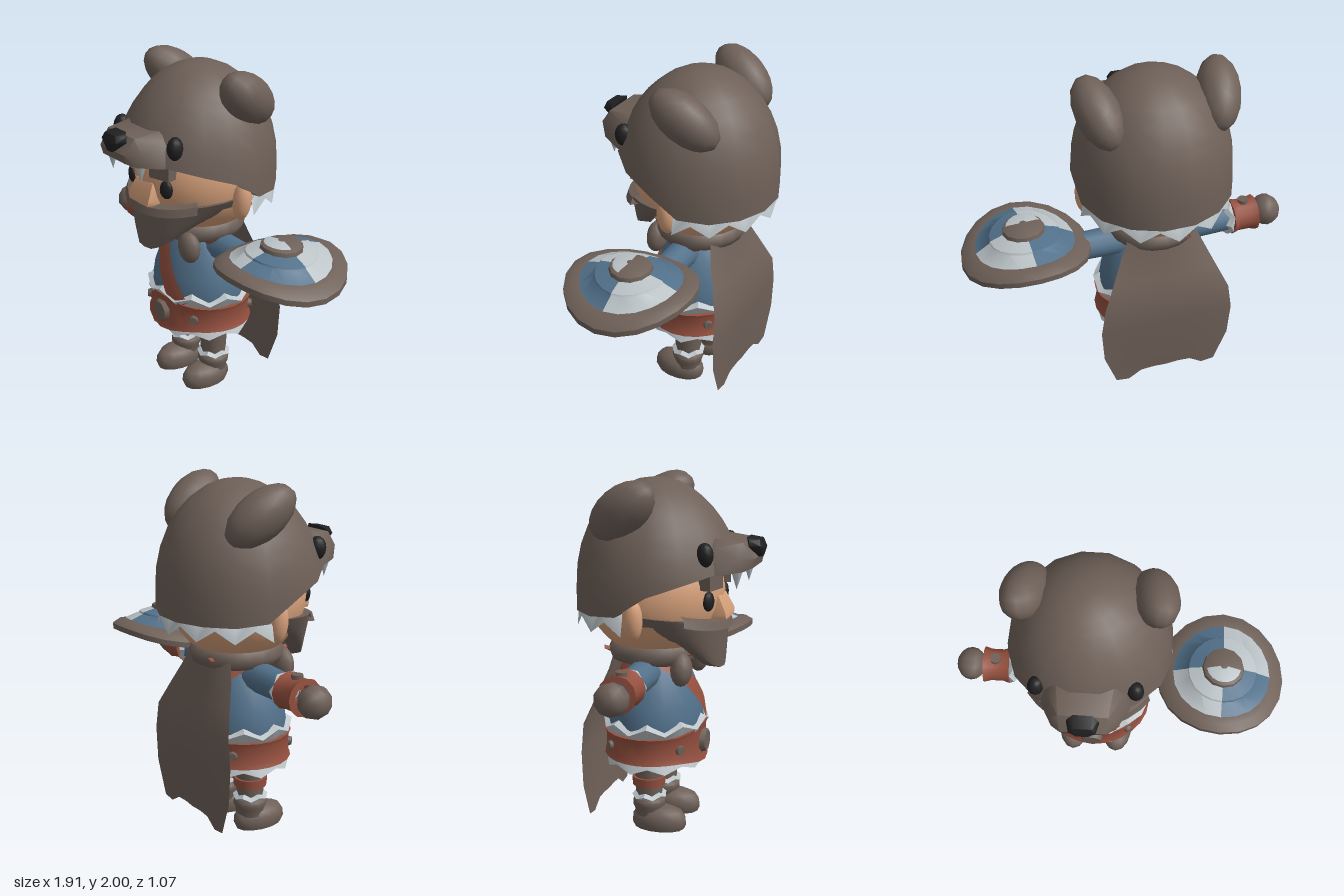
import * as THREE from 'three';
import { toCreasedNormals } from 'three/addons/utils/BufferGeometryUtils.js';
import { ParametricGeometry } from 'three/addons/geometries/ParametricGeometry.js';
import { ConvexGeometry } from 'three/addons/geometries/ConvexGeometry.js';

const PI = Math.PI, { lerp, smoothstep } = THREE.MathUtils;
const mat = (name, color) => Object.assign(new THREE.MeshStandardMaterial({ color, side: THREE.DoubleSide }), { name });

export function createModel() {
  const brown = mat('brown hide', 0x6e6058), red = mat('red leather', 0x95503f), blue = mat('blue cloth', 0x52718b);
  const grey = mat('pale fur', 0xbcc4c8), skin = mat('skin', 0xd8a27c), black = mat('black', 0x202022);

  const root = new THREE.Group();
  root.name = 'warrior';
  const group = (name, parent = root) => {
    const g = new THREE.Group();
    g.name = name;
    parent.add(g);
    return g;
  };
  const add = (name, geo, material, pos = [0, 0, 0], rot = [0, 0, 0], parent = body) => {
    const m = new THREE.Mesh(geo, material);
    m.name = name;
    m.position.set(...pos);
    m.rotation.set(...rot);
    parent.add(m);
    return m;
  };
  const ball = (x, y, z, w = 16, h = 12) => new THREE.SphereGeometry(1, w, h).scale(x, y, z);
  const surface = (fn, nu, nv, crease = 0.75) => toCreasedNormals(new ParametricGeometry(fn, nu, nv), crease);
  // Convex block from half of its corners, mirrored in x
  const hull = (half, crease) => toCreasedNormals(new ConvexGeometry(
    half.flatMap(([x, y, z]) => [new THREE.Vector3(x, y, z), new THREE.Vector3(-x, y, z)])), crease);

  // Rings of [radius, height] swept around y; warp may move each point.
  const loft = (rows, n, warp = () => {}, a0 = -PI, a1 = PI) => surface((u, v, p) => {
    const k = Math.round(v * (rows.length - 1)), a = lerp(a0, a1, u), [r, y] = rows[k];
    p.set(r * Math.sin(a), y, r * Math.cos(a));
    warp(p, a, k, Math.round(u * n));
  }, n, rows.length - 1);
  // Jagged fur: the outer rows of the ring alternate up and down.
  const fur = (rows, n, amp, a0, a1) => loft(rows, n, (p, a, k, i) => {
    if (k > 0) p.y += i % 2 ? amp : -amp;
  }, a0, a1);

  // All body parts share one centre line.
  const body = group('body');
  body.position.set(-0.155, 0, -0.09);

  // Torso, belt and fur trims, a little flattened front to back
  const trunk = group('trunk', body);
  trunk.scale.z = 0.86;
  const torso = [[0.3, 0.5], [0.315, 0.62], [0.295, 0.74], [0.25, 0.86], [0.19, 0.96], [0.12, 1.03]];
  const torsoRadius = y => {
    const i = Math.min(4, Math.max(0, torso.findIndex(q => q[1] >= y) - 1));
    const [[r0, y0], [r1, y1]] = [torso[i], torso[i + 1]];
    return lerp(r0, r1, Math.min(1, (y - y0) / (y1 - y0)));
  };
  add('tunic', loft(torso, 24), blue, undefined, undefined, trunk);
  add('pelvis', ball(0.28, 0.13, 0.28), brown, [0, 0.45, 0], undefined, trunk);
  add('upperFur', fur([[0.3, 0.55], [0.346, 0.622], [0.3, 0.645]], 18, 0.022), grey, undefined, undefined, trunk);
  add('lowerFur', fur([[0.26, 0.42], [0.328, 0.388], [0.295, 0.46]], 18, 0.018), grey, undefined, undefined, trunk);
  add('belt', loft([[0.29, 0.43], [0.34, 0.43], [0.328, 0.46], [0.328, 0.55], [0.34, 0.58], [0.29, 0.58]], 24, (p, a, k) => {
    p.y += (k < 3 ? -1 : 1) * 0.04 * Math.max(0, Math.cos(a)) ** 8;
  }), red, undefined, undefined, trunk);
  add('buckle', new THREE.CylinderGeometry(0.062, 0.076, 0.04, 8), brown, [0, 0.505, 0.285], [PI / 2, PI / 8, 0]);
  for (const a of [-0.74, 0.74, -2.3, 2.3])
    add('beltStud', new THREE.CylinderGeometry(0.024, 0.032, 0.03, 8).rotateX(PI / 2), brown,
      [0.33 * Math.sin(a), 0.505, 0.285 * Math.cos(a)], [0, a, 0]);

  // Diagonal strap, front and back
  for (const s of [1, -1])
    add('strap', surface((u, v, p) => {
      const w = (u - 0.5) * 0.11, y0 = lerp(1.02, 0.58, v);
      const y = y0 + w * 0.58, x = (0.788 - y0) / 1.4 + w * 0.81, r = torsoRadius(y) + 0.018;
      p.set(x, y, s * 0.86 * Math.sqrt(Math.max(0.002, r * r - x * x)));
    }, 4, 12), red);
  add('shoulderPad', ball(0.055, 0.06, 0.12, 10, 8), red, [0.195, 0.995, 0], [0, 0, -0.4]);

  // Collar with its two hanging ends
  add('collar', new THREE.TorusGeometry(0.205, 0.065, 8, 20).rotateX(PI / 2), brown, [0, 1.03, 0]);
  for (const s of [-1, 1])
    add('collarEnd', ball(0.076, 0.095, 0.06, 10, 8), brown, [s * 0.167, 0.955, 0.2], [0, 0, s * 0.2]);

  // Cape: [height, half width, depth] rows with a ragged hem
  const capeRows = [[1.04, 0.2, -0.17], [0.93, 0.25, -0.2], [0.8, 0.31, -0.25], [0.66, 0.375, -0.3],
    [0.5, 0.4, -0.305], [0.3, 0.385, -0.305], [0.1, 0.31, -0.3]];
  const hem = [0, -0.01, 0.04, 0.045, 0.04, 0.045, 0.04, -0.01, 0];
  add('cape', surface((u, v, p) => {
    const k = Math.round(v * 6), s = u * 2 - 1, [y, w, z] = capeRows[k];
    p.set(s * w, y + (k === 6 ? hem[Math.round(u * 8)] : 0), z - 0.05 * (1 - s * s) * (1 - v));
  }, 8, 6, 1), brown);

  // Arms, built along their own y axis and turned sideways
  for (const s of [-1, 1]) {
    const arm = group(s < 0 ? 'rightArm' : 'leftArm', body);
    arm.position.y = 0.925;
    arm.rotation.z = -s * PI / 2;
    add('sleeve', new THREE.CylinderGeometry(0.08, 0.09, 0.4, 12), blue, [0, 0.28, 0], undefined, arm);
    add('sleeveFur', fur([[0.08, 0.5], [0.102, 0.475], [0.08, 0.45]], 12, 0.014), grey, undefined, undefined, arm);
    add('cuff', loft([[0.08, 0.49], [0.106, 0.492], [0.094, 0.53], [0.094, 0.6], [0.106, 0.642], [0.07, 0.645]], 12),
      red, undefined, undefined, arm);
    add('cuffStud', new THREE.CylinderGeometry(0.032, 0.032, 0.03, 8), brown, [-s * 0.095, 0.57, 0], [0, 0, PI / 2], arm);
    add('hand', ball(0.092, 0.085, 0.097, 10, 8), brown, [0, 0.72, 0], undefined, arm);
  }
  add('grip', ball(0.07, 0.05, 0.07, 10, 8), brown, [0.82, 0.96, 0]);

  // Legs and boots
  for (const s of [-1, 1]) {
    const leg = group(s < 0 ? 'rightLeg' : 'leftLeg', body);
    leg.position.x = s * 0.14;
    add('shin', new THREE.CylinderGeometry(0.09, 0.075, 0.25, 12), brown, [0, 0.3, 0], undefined, leg);
    if (s < 0) add('legBand', new THREE.CylinderGeometry(0.098, 0.094, 0.052, 12), red, [0, 0.285, 0], undefined, leg);
    add('bootFur', fur([[0.07, 0.175], [0.1, 0.195], [0.075, 0.215]], 12, 0.009), grey, undefined, undefined, leg);
    add('bootShaft', loft([[0.08, 0.08], [0.084, 0.12], [0.094, 0.14], [0.094, 0.165], [0.08, 0.185], [0, 0.185]], 12),
      brown, undefined, undefined, leg);
    add('foot', loft([[0, 0], [0.088, 0], [0.097, 0.03], [0.095, 0.07], [0.08, 0.105], [0.045, 0.128], [0, 0.135]], 14), brown,
      [0, 0, 0.06], undefined, leg).scale.z = 1.66;
  }

  // Head and face
  add('head', ball(0.385, 0.37, 0.39, 24, 16), skin, [0, 1.36, 0]);
  add('nose', hull([[0.105, 1.25, 0.36], [0.09, 1.235, 0.43], [0.1, 1.27, 0.43], [0.08, 1.36, 0.385],
    [0.085, 1.365, 0.3], [0.1, 1.23, 0.3]], 0.9), skin);
  for (const s of [-1, 1]) {
    add('eye', ball(0.041, 0.054, 0.025, 12, 8), black, [s * 0.167, 1.345, 0.353], [0, s * 0.4, 0]);
    add('eyebrow', new THREE.BoxGeometry(0.14, 0.08, 0.07), brown, [s * 0.147, 1.45, 0.36], [0, s * 0.25, 0]);
    add('ear', ball(0.055, 0.118, 0.055, 12, 10), skin, [s * 0.395, 1.27, 0], [0, 0, -s * 0.12]);
  }
  // Moustache: a band that overhangs the beard
  add('moustache', loft([[0.38, 1.175], [0.435, 1.18], [0.42, 1.225], [0.37, 1.235]], 10, (p, a) => {
    p.y += 0.06 * a * a;
  }, -0.9, 0.9), brown);
  // Beard: a full shell around the jaw, drawn down to a blunt point
  add('beard', surface((u, v, p) => {
    const s = u * 2 - 1, a = s * 1.7, e = Math.abs(s);
    const t = Math.min(1, Math.max(0, (v - 0.125) / 0.75));
    const inner = v < 0.1 || v > 0.9 ? 0.8 : 1;
    const rx = lerp(0.285, 0.39, t ** 0.7) * inner, rz = lerp(0.4, 0.415, t) * inner;
    p.set(rx * Math.sin(a), lerp(0.955 + 0.2 * smoothstep(e, 0.08, 0.8), 1.215 + 0.075 * e, t), rz * Math.cos(a));
  }, 16, 8), brown);

  // Bear hood, fuller at the brow, raised over the face and dropping towards the back
  const hood = group('bearHood', body);
  add('hoodDome', surface((u, v, p) => {
    const a = u * 2 * PI + PI + PI / 16, c = Math.cos(a);
    const edge = 1.27 + 0.19 * Math.min(1, Math.max(0, (c + 0.25) / 0.65)) + 0.055 * smoothstep(c, 0.6, 0.95);
    const lat = lerp(Math.asin((edge - 1.4) / 0.59), PI / 2, Math.max(0, (v - 0.1) / 0.9));
    const r = 0.45 * Math.cos(Math.max(0, lat)) * (v < 0.05 ? 0.87 : 1) * (1 + 0.1 * Math.max(0, c) * (1 - Math.sin(lat)));
    p.set(r * Math.sin(a), 1.4 + 0.59 * Math.sin(lat), r * c);
  }, 16, 10), brown, undefined, undefined, hood);
  add('hoodFur', fur([[0.37, 1.31], [0.42, 1.3], [0.44, 1.215]], 12, 0.035, PI - 1.45, PI + 1.45), grey,
    undefined, undefined, hood);
  add('muzzle', hull([[0.11, 1.53, 0.58], [0.17, 1.515, 0.54], [0.235, 1.5, 0.42], [0.26, 1.495, 0.28], [0.12, 1.58, 0.59],
    [0.18, 1.58, 0.52], [0.13, 1.665, 0.53], [0.15, 1.685, 0.36], [0.2, 1.64, 0.4], [0.24, 1.56, 0.33]], 0.8),
    brown, undefined, undefined, hood);
  add('bearNose', hull([[0.02, 1.575, 0.56], [0.02, 1.58, 0.61], [0.085, 1.635, 0.55], [0.07, 1.64, 0.61],
    [0.08, 1.67, 0.55], [0.05, 1.675, 0.6], [0.05, 1.685, 0.53], [0.03, 1.63, 0.625]], 0.9), black, undefined, undefined, hood);
  for (const s of [-1, 1]) {
    add('bearEye', ball(0.045, 0.066, 0.05, 12, 8), black, [s * 0.258, 1.61, 0.356], [0, s * 0.5, 0], hood);
    add('bearEar', ball(0.122, 0.13, 0.22, 14, 10), brown, [s * 0.335, 1.832, -0.075], [-0.65, s * 0.2, -s * 0.15], hood);
    add('fang', new THREE.ConeGeometry(0.042, 0.13, 6).rotateX(PI), grey, [s * 0.14, 1.48, 0.5], undefined, hood);
  }

  // Round shield lying over the left hand, bent down at both sides
  const shield = group('shield', body);
  shield.position.set(0.745, 1.035, 0.01);
  shield.rotation.z = -0.035;
  const bend = p => { p.y -= 0.6 * p.x * p.x; };
  const plate = (name, rows, n, m, a0, a1) => add(name, loft(rows, n, bend, a0, a1), m, undefined, undefined, shield);
  plate('shieldRim', [[0, 0], [0.15, 0], [0.27, -0.005], [0.34, -0.03], [0.365, -0.02], [0.365, 0.012], [0.32, 0.035], [0.27, 0.032]], 20, brown);
  for (let q = 0; q < 4; q++)
    plate('shieldQuarter', [[0.28, 0.034], [0.2, 0.06], [0.195, 0.07], [0.1, 0.088]], 5, q % 2 ? grey : blue, q * PI / 2, (q + 1) * PI / 2);
  plate('shieldBoss', [[0.122, 0.078], [0.115, 0.105], [0.08, 0.118], [0, 0.122]], 12, brown);
  plate('bossInlay', [[0.098, 0.117], [0.08, 0.122], [0.02, 0.126]], 8, grey, -1.4, 1.4);

  return root;
}
